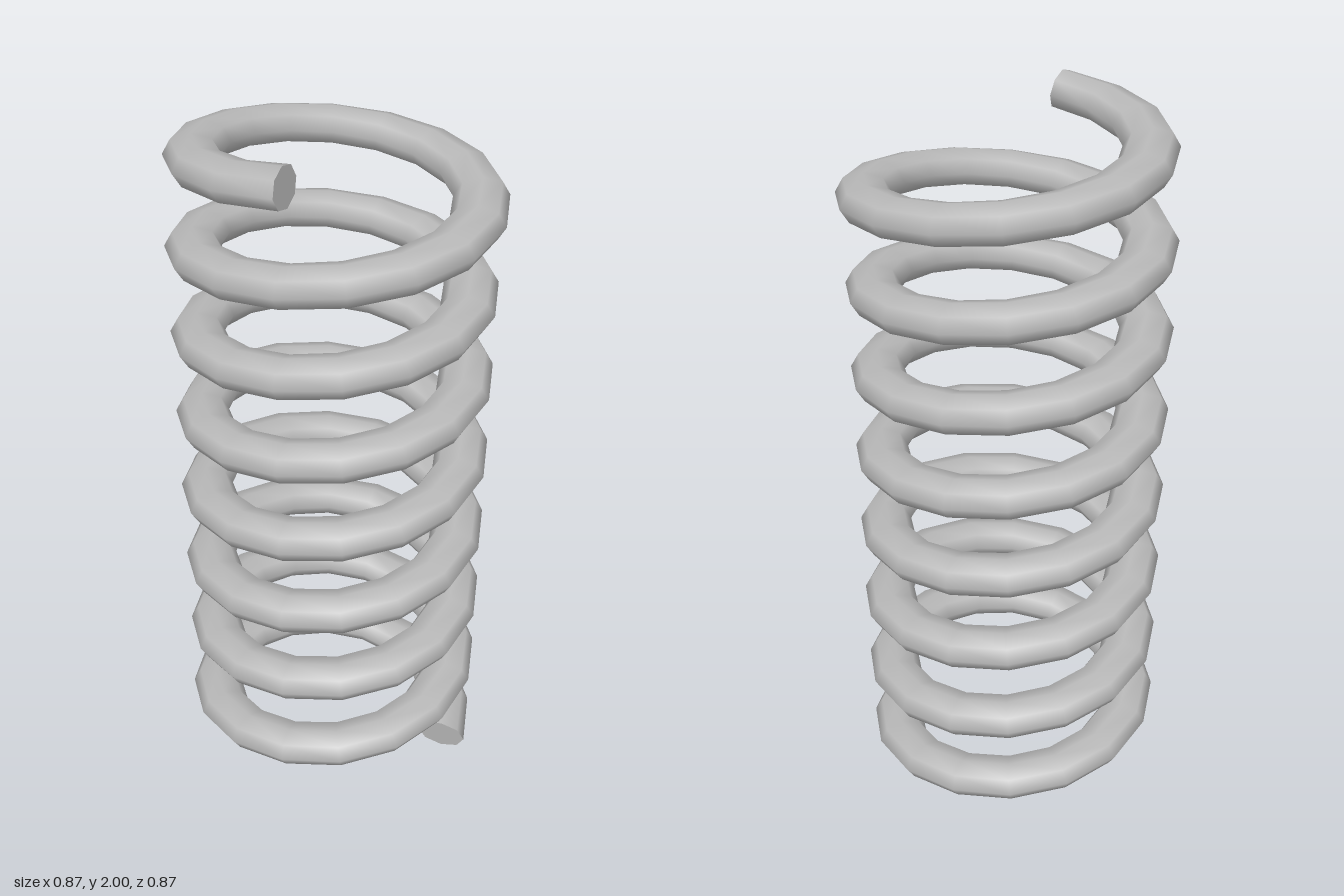
import * as THREE from 'three';

const TURNS = 7.75, STEPS_PER_TURN = 16, SIDES = 8;
const COIL_RADIUS = 0.358, WIRE_HALF_WIDTH = 0.072, WIRE_HALF_HEIGHT = 0.05;
const Y_START = 0.052, Y_END = 1.948;

// Eased 0..1 weight that is full near an end and gone after 1.25 turns
const endWeight = (turnsFromEnd) => 1 - THREE.MathUtils.smoothstep(turnsFromEnd, 0.75, 1.25);

// One elliptical cross-section of the wire, t turns from the bottom
function ring(t) {
  const a = t * Math.PI * 2;
  const out = new THREE.Vector3(Math.cos(a), 0, -Math.sin(a));
  const slope = (Y_END - Y_START) / (TURNS * Math.PI * 2 * COIL_RADIUS);
  const tangent = new THREE.Vector3(-Math.sin(a), slope, -Math.cos(a)).normalize();
  const up = out.clone().cross(tangent);
  // the first turn leans slightly forward, the last slightly to the left
  const center = out.clone().multiplyScalar(COIL_RADIUS).add(new THREE.Vector3(
    -0.006 + 0.013 * endWeight(TURNS - t),
    THREE.MathUtils.lerp(Y_START, Y_END, t / TURNS),
    -0.004 + 0.013 * endWeight(t)));
  const points = [];
  for (let j = 0; j < SIDES; j++) {
    const p = (j / SIDES) * Math.PI * 2;
    points.push(center.clone()
      .addScaledVector(out, WIRE_HALF_WIDTH * Math.cos(p))
      .addScaledVector(up, WIRE_HALF_HEIGHT * Math.sin(p)));
  }
  return points;
}

function makeGeometry(points, index) {
  const g = new THREE.BufferGeometry().setFromPoints(points);
  g.setIndex(index);
  g.computeVertexNormals();
  return g;
}

// Smooth wire swept along the helix
function coilGeometry() {
  const points = [], index = [];
  const steps = TURNS * STEPS_PER_TURN;
  for (let i = 0; i <= steps; i++) {
    points.push(...ring(i / STEPS_PER_TURN));
    if (i === steps) break;
    for (let j = 0; j < SIDES; j++) {
      const a = i * SIDES + j, b = i * SIDES + (j + 1) % SIDES;
      index.push(a, a + SIDES, b, b, a + SIDES, b + SIDES);
    }
  }
  return makeGeometry(points, index);
}

// Flat cut end of the wire
function capGeometry(t, reversed) {
  const index = [];
  for (let j = 1; j < SIDES - 1; j++) index.push(0, reversed ? j + 1 : j, reversed ? j : j + 1);
  return makeGeometry(ring(t), index);
}

export function createModel() {
  const group = new THREE.Group();
  group.name = 'coilSpring';
  const steel = new THREE.MeshStandardMaterial({ color: 0xb8b8b8 });
  steel.name = 'steelGrey';
  const add = (name, geometry) => {
    const mesh = new THREE.Mesh(geometry, steel);
    mesh.name = name;
    group.add(mesh);
  };
  add('coil', coilGeometry());
  add('bottomEndCap', capGeometry(0, false));
  add('topEndCap', capGeometry(TURNS, true));
  return group;
}
